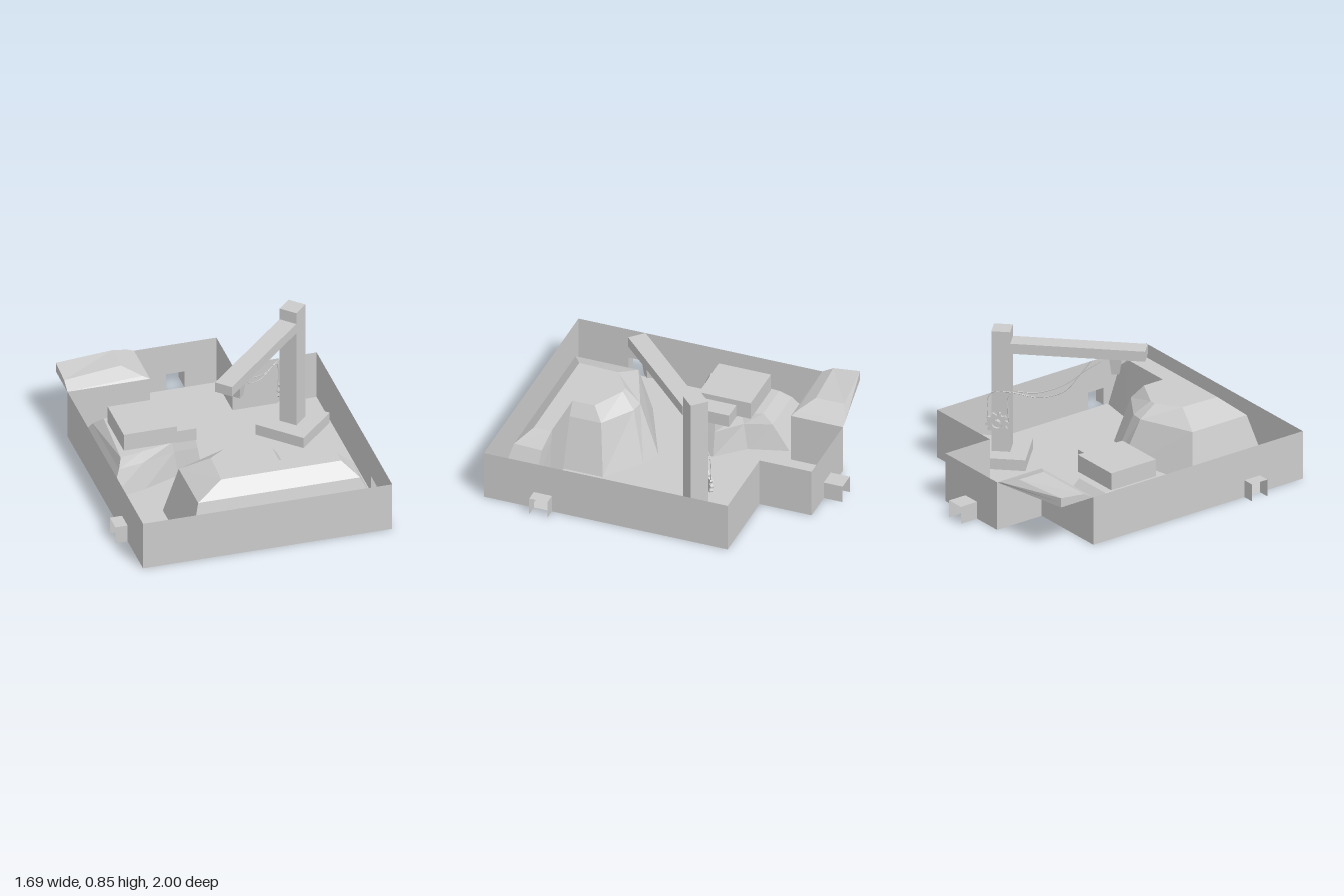
import * as THREE from 'three';

const mat = new THREE.MeshStandardMaterial({ color: 0xcccccc, flatShading: true, side: THREE.DoubleSide });
const WALL = 0.31, PORT_W = 0.115, PORT_H = 0.11;

function add(parent, name, geo, x = 0, y = 0, z = 0) {
  const m = new THREE.Mesh(geo, mat);
  m.name = name;
  m.position.set(x, y, z);
  parent.add(m);
  return m;
}

// Faceted rock: rings of [x, y, z] points joined from bottom to top, then capped
function rock(rings) {
  const pos = [];
  const n = rings[0].length;
  for (let r = 0; r < rings.length - 1; r++) {
    for (let i = 0; i < n; i++) {
      const j = (i + 1) % n, lo = rings[r], hi = rings[r + 1];
      pos.push(...lo[i], ...lo[j], ...hi[j], ...lo[i], ...hi[j], ...hi[i]);
    }
  }
  const top = rings[rings.length - 1];
  const flat = top.map(p => new THREE.Vector2(p[0], -p[2]));
  for (const f of THREE.ShapeUtils.triangulateShape(flat, [])) for (const k of f) pos.push(...top[k]);
  const g = new THREE.BufferGeometry();
  g.setAttribute('position', new THREE.Float32BufferAttribute(pos, 3));
  g.computeVertexNormals();
  return g;
}
const level = (y, pts) => pts.map(([x, z]) => [x, y, z]);

// Thin wall from a to b, with an optional doorway centred at distance `port`
function wall(parent, a, b, port) {
  const dx = b[0] - a[0], dz = b[1] - a[1], len = Math.hypot(dx, dz);
  const s = new THREE.Shape().moveTo(0, 0);
  if (port !== undefined) {
    s.lineTo(port - PORT_W / 2, 0).lineTo(port - PORT_W / 2, PORT_H);
    s.lineTo(port + PORT_W / 2, PORT_H).lineTo(port + PORT_W / 2, 0);
  }
  s.lineTo(len, 0).lineTo(len, WALL).lineTo(0, WALL);
  add(parent, 'wall', new THREE.ShapeGeometry(s), a[0], 0, a[1]).rotation.y = Math.atan2(-dz, dx);
}

// Open tunnel stub (roof and two sides) running outwards along local +z
function tunnel(parent, x, z, angle, len) {
  const g = new THREE.Group();
  g.name = 'tunnel';
  g.position.set(x, 0, z);
  g.rotation.y = angle;
  add(g, 'tunnelRoof', new THREE.PlaneGeometry(PORT_W, len), 0, PORT_H, len / 2).rotation.x = -Math.PI / 2;
  for (const s of [-1, 1]) {
    add(g, 'tunnelSide', new THREE.PlaneGeometry(len, PORT_H), s * PORT_W / 2, PORT_H / 2, len / 2)
      .rotation.y = s * Math.PI / 2;
  }
  parent.add(g);
}

function gearGeometry(radius, teeth, depth) {
  const s = new THREE.Shape();
  for (let i = 0; i < teeth * 4; i++) {
    const a = i / (teeth * 4) * Math.PI * 2, r = i % 4 < 2 ? radius : radius * 0.78;
    const x = Math.cos(a) * r, y = Math.sin(a) * r;
    if (i) s.lineTo(x, y); else s.moveTo(x, y);
  }
  s.holes.push(new THREE.Path().absarc(0, 0, radius * 0.45, 0, Math.PI * 2, true));
  return new THREE.ExtrudeGeometry(s, { depth, bevelEnabled: false, curveSegments: 8 });
}

function cable(pts) {
  const curve = new THREE.CatmullRomCurve3(pts.map(p => new THREE.Vector3(...p)));
  return new THREE.TubeGeometry(curve, 40, 0.003, 5);
}

export function createModel() {
  const model = new THREE.Group();
  model.name = 'quarryRoom';

  // Floor and surrounding walls
  const plan = [[-0.77, 1], [0.77, 1], [0.77, -0.55], [0.25, -0.55], [0.25, -0.88],
    [-0.26, -0.88], [-0.26, -0.55], [-0.77, -0.55]];
  const ports = { 1: 0.375, 4: 0.255, 7: 1.175 };
  const floor = new THREE.Shape(plan.map(([x, z]) => new THREE.Vector2(x, -z)));
  add(model, 'floor', new THREE.ShapeGeometry(floor)).rotation.x = -Math.PI / 2;
  plan.forEach((p, i) => wall(model, p, plan[(i + 1) % plan.length], ports[i]));

  // Tunnel stubs at the doorways
  tunnel(model, 0.77, 0.625, Math.PI / 2, 0.075);
  tunnel(model, -0.77, 0.625, -Math.PI / 2, 0.075);
  tunnel(model, -0.005, -0.88, Math.PI, 0.12);

  // Large L-shaped mound at the front
  add(model, 'frontMound', rock([
    level(0, [[-0.47, 0.95], [0.76, 0.95], [0.76, 0.71], [0.52, 0.67], [0.32, 0.67],
      [0.32, 0.42], [0.1, 0.25], [-0.02, 0.2], [-0.47, 0.41]]),
    level(0.31, [[-0.39, 0.87], [0.61, 0.87], [0.62, 0.69], [0.52, 0.67], [0.22, 0.67],
      [0.22, 0.47], [0.02, 0.34], [-0.06, 0.33], [-0.39, 0.47]]),
    level(0.39, [[-0.22, 0.78], [0.52, 0.78], [0.52, 0.68], [0.5, 0.67], [0.17, 0.67],
      [0.17, 0.53], [-0.03, 0.43], [-0.07, 0.43], [-0.21, 0.53]]),
  ]));

  // Lower mound by the left-hand wall, carrying a hut
  add(model, 'sideMound', rock([
    level(0, [[-0.73, 0.21], [-0.5, 0.15], [-0.27, 0.06], [-0.12, 0.06], [-0.12, -0.11],
      [-0.27, -0.27], [-0.34, -0.51], [-0.73, -0.51]]),
    level(0.16, [[-0.66, 0.14], [-0.5, 0.11], [-0.29, 0.045], [-0.145, 0.045], [-0.145, -0.11],
      [-0.29, -0.24], [-0.345, -0.4], [-0.66, -0.4]]),
    level(0.22, [[-0.64, 0.11], [-0.5, 0.08], [-0.3, 0.035], [-0.155, 0.035], [-0.155, -0.11],
      [-0.3, -0.22], [-0.35, -0.34], [-0.61, -0.34]]),
  ]));
  add(model, 'hut', new THREE.BoxGeometry(0.33, 0.11, 0.33), -0.435, 0.275, -0.125);
  add(model, 'hutPorch', new THREE.BoxGeometry(0.12, 0.08, 0.24), -0.21, 0.255, -0.08);

  // Rock ledge over the cut-out back corner
  add(model, 'cornerLedge', rock([
    level(0.31, [[-0.77, -0.55], [-0.26, -0.55], [-0.26, -0.88], [-0.77, -0.79]]),
    [[-0.77, 0.33, -0.585], [-0.3, 0.325, -0.57], [-0.3, 0.325, -0.88], [-0.77, 0.34, -0.79]],
    [[-0.77, 0.35, -0.62], [-0.41, 0.37, -0.65], [-0.41, 0.37, -0.83], [-0.77, 0.37, -0.79]],
  ]));

  // Crane, turned so that its arm (local +z) reaches over the front mound
  const crane = new THREE.Group();
  crane.name = 'crane';
  crane.position.set(0.53, 0, -0.25);
  crane.rotation.y = -Math.PI / 4;
  model.add(crane);
  add(crane, 'craneBase', new THREE.BoxGeometry(0.325, 0.07, 0.325), 0, 0.035, 0);
  add(crane, 'cranePost', new THREE.BoxGeometry(0.113, 0.85, 0.113), 0, 0.425, 0);
  add(crane, 'craneArm', new THREE.BoxGeometry(0.113, 0.065, 0.806), 0, 0.743, 0.46);
  const head = new THREE.CylinderGeometry(0.05, 0.032, 0.11, 4);
  add(crane, 'craneHead', head, 0, 0.655, 0.68).rotation.y = Math.PI / 4;

  // Winch gear on the side of the post
  add(crane, 'winchGear', gearGeometry(0.07, 10, 0.02), -0.06, 0.26, -0.02).rotation.y = -Math.PI / 2;
  const axle = add(crane, 'winchAxle', new THREE.CylinderGeometry(0.02, 0.02, 0.035, 8), -0.07, 0.26, -0.02);
  axle.rotation.z = Math.PI / 2;

  // Slack cables from the arm to the winch
  add(model, 'cable', cable([[0.04, 0.71, 0.11], [0.1, 0.65, 0.05], [0.2, 0.54, -0.04], [0.32, 0.475, -0.15],
    [0.43, 0.468, -0.25], [0.445, 0.44, -0.265], [0.445, 0.26, -0.265]]));
  add(model, 'cable', cable([[0.08, 0.71, 0.07], [0.13, 0.61, 0.02], [0.19, 0.505, -0.04], [0.3, 0.45, -0.14],
    [0.44, 0.47, -0.27], [0.525, 0.45, -0.34], [0.535, 0.26, -0.35]]));

  return model;
}
